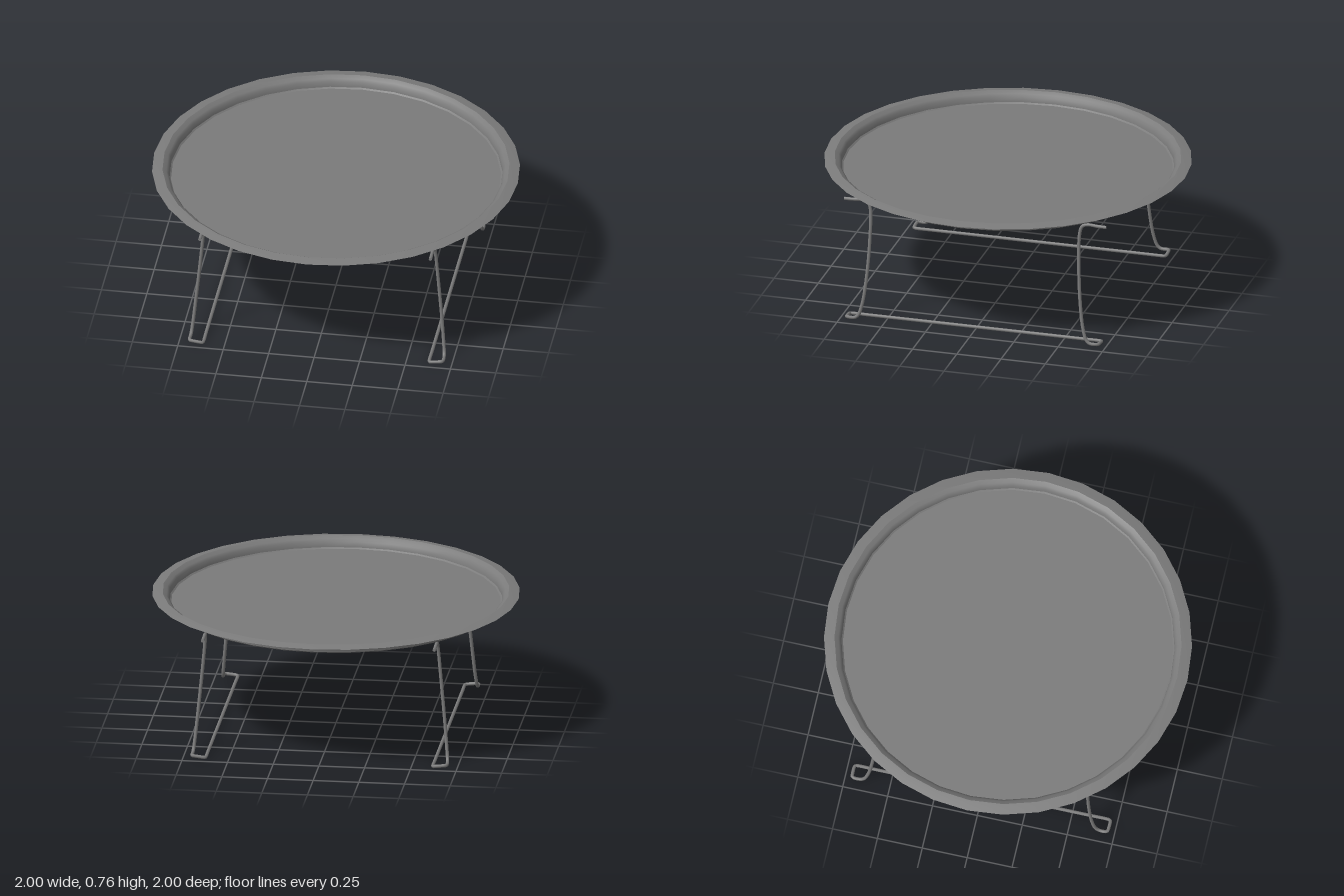
import * as THREE from 'three';
import { toCreasedNormals } from 'three/addons/utils/BufferGeometryUtils.js';

const metal = new THREE.MeshStandardMaterial({ color: 0x7b7b7b, side: THREE.DoubleSide });

// Shallow round tray: flat floor, steep wall, rolled lip
function createTray() {
  const tray = new THREE.Group();
  tray.name = 'tray';

  const floor = new THREE.Mesh(new THREE.CircleGeometry(0.897, 32), metal);
  floor.name = 'trayFloor';
  floor.rotation.x = -Math.PI / 2;
  floor.position.y = 0.698;

  const profile = [
    [0.897, 0.698], [0.905, 0.705], [0.909, 0.735], [0.922, 0.748],
    [0.943, 0.761], [0.962, 0.758], [1, 0.75],
  ].map(([r, y]) => new THREE.Vector2(r, y));
  const rim = new THREE.Mesh(toCreasedNormals(new THREE.LatheGeometry(profile, 32), 0.7), metal);
  rim.name = 'trayRim';

  tray.add(floor, rim);
  return tray;
}

// One bent wire makes the two legs, feet and floor bar of a side
function createWireStand(side) {
  const half = [
    // hook under the rim
    [0.634, 0.686, 0.74], [0.634, 0.687, 0.69], [0.634, 0.69, 0.635],
    [0.635, 0.678, 0.605], [0.638, 0.64, 0.592],
    // leg, leaning outward and flaring at the bottom
    [0.654, 0.46, 0.591], [0.674, 0.25, 0.604], [0.688, 0.1, 0.624],
    [0.695, 0.035, 0.645], [0.697, 0.019, 0.665],
    // foot loop turning back to the bar
    [0.697, 0.018, 0.7], [0.69, 0.018, 0.712], [0.678, 0.017, 0.713],
    [0.635, 0.012, 0.713], [0.624, 0.01, 0.71], [0.621, 0.01, 0.695],
    [0.621, 0.01, 0.6],
  ];
  const mirrored = half.map(([x, y, z]) => [x, y, -z]).reverse();
  const points = [...half, ...mirrored].map(
    ([x, y, z]) => new THREE.Vector3(side * x + 0.004, y, z));
  const path = new THREE.CatmullRomCurve3(points, false, 'centripetal');
  path.arcLengthDivisions = 1500;

  const stand = new THREE.Group();
  stand.name = side > 0 ? 'leftWireStand' : 'rightWireStand';
  const wire = new THREE.Mesh(new THREE.TubeGeometry(path, 300, 0.0095, 8), metal);
  wire.name = 'legWire';
  stand.add(wire);

  // Closed wire ends
  for (const [end, dir] of [[points[0], 1], [points[points.length - 1], -1]]) {
    const cap = new THREE.Mesh(new THREE.CircleGeometry(0.0095, 8), metal);
    cap.name = 'wireEnd';
    cap.position.copy(end);
    if (dir < 0) cap.rotation.y = Math.PI;
    stand.add(cap);
  }
  return stand;
}

export function createModel() {
  const model = new THREE.Group();
  model.name = 'trayStand';
  model.add(createTray(), createWireStand(1), createWireStand(-1));
  return model;
}
